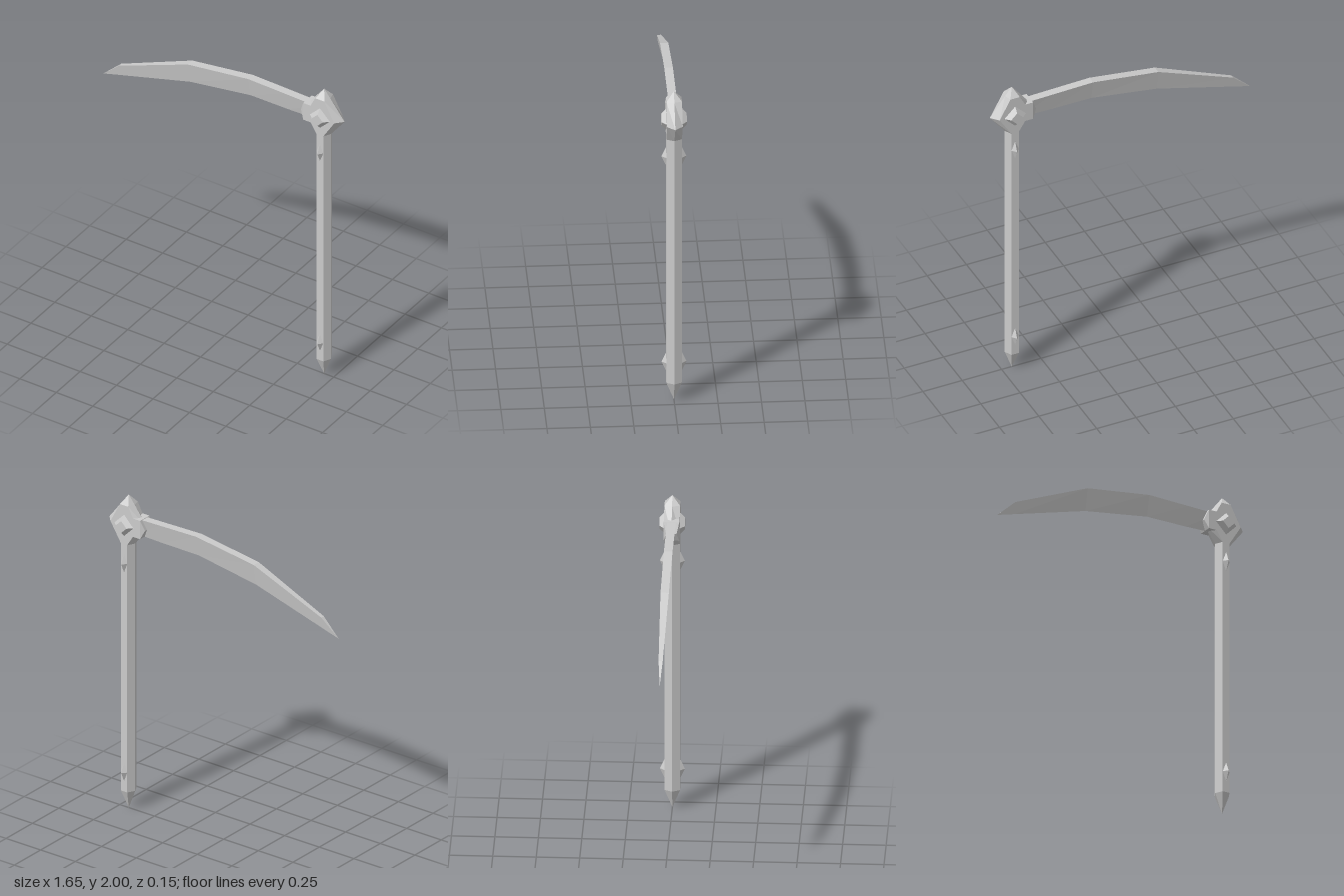
import * as THREE from 'three';

const material = new THREE.MeshStandardMaterial({ color: 0xcccccc, flatShading: true, side: THREE.DoubleSide });
const SHAFT_X = 0.685;
const HEAD_Y = 1.82;

// Skin a list of equal-length rings of [x, y, z] points with flat quads
function loft(rings) {
  const pos = [];
  for (let r = 0; r < rings.length - 1; r++) {
    const lo = rings[r], hi = rings[r + 1], n = lo.length;
    for (let i = 0; i < n; i++) {
      const j = (i + 1) % n;
      pos.push(...lo[i], ...hi[i], ...hi[j], ...lo[i], ...hi[j], ...lo[j]);
    }
  }
  const g = new THREE.BufferGeometry();
  g.setAttribute('position', new THREE.Float32BufferAttribute(pos, 3));
  g.computeVertexNormals();
  return g;
}

export function createModel() {
  const model = new THREE.Group();
  model.name = 'scythe';
  const add = (name, geometry) => {
    const mesh = new THREE.Mesh(geometry, material);
    mesh.name = name;
    model.add(mesh);
    return mesh;
  };

  // Six-sided ring: side corners at +-w, front and back flats of half width f at depth d
  const hexRing = ([y, w, f, d]) =>
    [[w, 0], [f, d], [-f, d], [-w, 0], [-f, -d], [f, -d]].map(([x, z]) => [SHAFT_X + x, y, z]);

  // Shaft with pointed foot
  const shaftTop = [1.7, 0.046, 0.023, 0.045];
  add('shaft', loft([[0, 0, 0, 0], [0.12, 0.046, 0.023, 0.045], shaftTop].map(hexRing)));

  // Diamond head growing out of the shaft
  add('head', loft([shaftTop, [HEAD_Y, 0.14, 0.098, 0.045], [1.947, 0.042, 0.03, 0.045], [2, 0, 0, 0]].map(hexRing)));

  // Collar where the blade meets the head: [x, bottom, top, half depth]
  add('bladeCollar', loft([
    [0.545, 1.82, 1.82, 0.03],
    [0.57, 1.765, 1.882, 0.045],
    [0.62, 1.765, 1.882, 0.045],
  ].map(([x, b, t, d]) => [[x, t, d], [x, t, -d], [x, b, -d], [x, b, d]])));

  // Wedge-section blade, flat spine and sharp lower edge: [x, edge, spine, half depth]
  add('blade', loft([
    [-0.83, 1.525, 1.525, 0],
    [-0.715, 1.558, 1.63, 0.012],
    [-0.235, 1.695, 1.83, 0.024],
    [0.18, 1.76, 1.888, 0.025],
    [0.44, 1.761, 1.882, 0.025],
    [0.64, 1.766, 1.877, 0.025],
  ].map(([x, edge, spine, d]) => [[x, spine, d], [x, spine, -d], [x, edge, 0]])));

  // Bosses and studs on the front and back
  for (const side of [1, -1]) {
    const face = side > 0 ? 'front' : 'back';
    const boss = add(face + 'Boss', new THREE.CylinderGeometry(0.038, 0.07, 0.03, 4));
    boss.rotation.x = side * Math.PI / 2;
    boss.position.set(SHAFT_X, HEAD_Y, side * 0.058);

    for (const [label, y] of [['Upper', 1.58], ['Lower', 0.247]]) {
      const stud = add(face + label + 'Stud', new THREE.OctahedronGeometry(1));
      stud.scale.set(0.023, 0.06, 0.027);
      stud.position.set(SHAFT_X, y, side * 0.045);
    }
  }
  return model;
}
